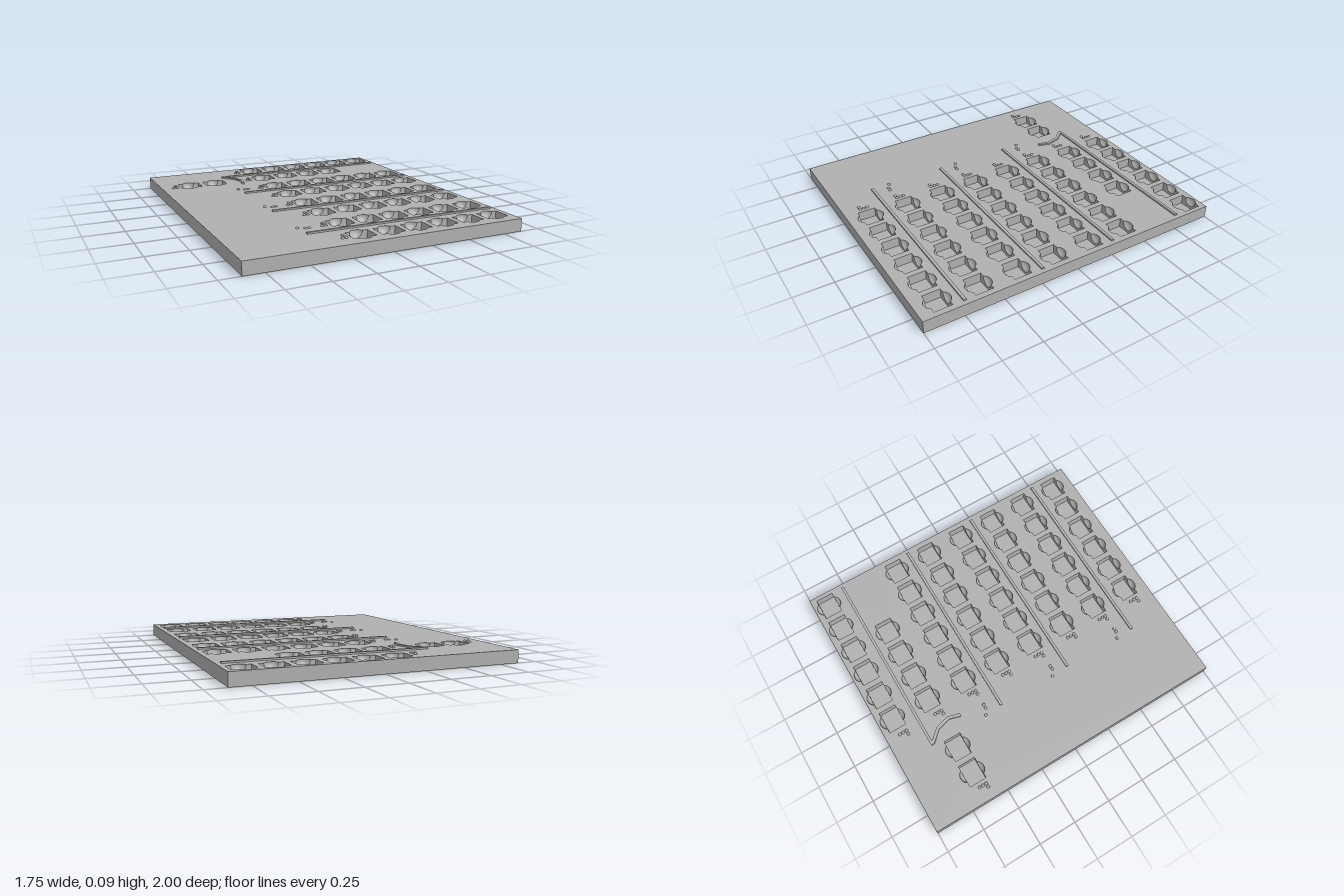
import * as THREE from 'three';
import { mergeGeometries } from 'three/addons/utils/BufferGeometryUtils.js';

const W = 1.75, TOP = 0.08, D = 2;            // plate size
const PW = 0.0725, PB = 0.0565, DEPTH = 0.06; // pocket half width, half length, depth
const R = 0.048, C = 0.023;                   // finger scoop radius, centre inset from wall
const A = Math.sqrt(R * R - C * C);           // scoop half width at the wall
const RAISE = 0.01;

// Turn a geometry inside out
function invert(g) {
  const i = g.index;
  for (let k = 0; k < i.count; k += 3) {
    const a = i.getX(k);
    i.setX(k, i.getX(k + 2));
    i.setX(k + 2, a);
  }
  const n = g.attributes.normal.array;
  for (let k = 0; k < n.length; k++) n[k] = -n[k];
  return g;
}

// Box keeping only the listed sides (0 +x, 1 -x, 2 +y, 3 -y, 4 +z, 5 -z)
function boxSides(w, h, d, sides) {
  const g = new THREE.BoxGeometry(w, h, d);
  const all = Array.from(g.index.array);
  g.setIndex(sides.flatMap(s => all.slice(s * 6, s * 6 + 6)));
  g.clearGroups();
  return g;
}

// Outline of a pocket mouth: rectangle with a rounded scoop at both ends
function mouth(x, z) {
  const p = new THREE.Path(), y = -z, t = Math.atan2(C, A);
  p.moveTo(x - PW, y - PB);
  p.lineTo(x - A, y - PB);
  p.absarc(x, y - PB + C, R, -Math.PI + t, -t, false);
  p.lineTo(x + PW, y - PB);
  p.lineTo(x + PW, y + PB);
  p.lineTo(x + A, y + PB);
  p.absarc(x, y + PB - C, R, t, Math.PI - t, false);
  p.lineTo(x - PW, y + PB);
  p.closePath();
  return p;
}

// Inside of one pocket, with its mouth at y = 0
function pocketGeometry() {
  const parts = [invert(boxSides(PW * 2, DEPTH, PB * 2, [0, 1, 3]).translate(0, -DEPTH / 2, 0))];
  const wall = new THREE.Shape();
  wall.moveTo(-PW, -DEPTH);
  wall.lineTo(PW, -DEPTH);
  wall.lineTo(PW, 0);
  wall.lineTo(A, 0);
  wall.absarc(0, 0, A, 0, -Math.PI, true);
  wall.lineTo(-PW, 0);
  wall.closePath();
  for (const turn of [0, Math.PI]) {
    parts.push(new THREE.ShapeGeometry(wall, 6).translate(0, 0, -PB).rotateY(turn));
    const scoop = new THREE.SphereGeometry(R, 12, 6, 0, Math.PI, 0, Math.acos(C / R));
    parts.push(invert(scoop.rotateX(Math.PI / 2).translate(0, 0, PB - C).rotateY(turn)));
  }
  return mergeGeometries(parts);
}

export function createModel() {
  const model = new THREE.Group();
  const grey = new THREE.MeshStandardMaterial({ color: 0xb0b0b0 });
  grey.name = 'grey plastic';
  const add = (name, geometry, x = 0, y = 0, z = 0) => {
    const m = new THREE.Mesh(geometry, grey);
    m.name = name;
    m.position.set(x, y, z);
    model.add(m);
    return m;
  };

  // Rows of pockets: first x, z, count, z offset of the lowest dot
  const rows = [
    [-0.124, -0.903, 6, 0.041], [-0.124, -0.651, 4, 0.041], [-0.674, -0.639, 2, 0.039],
    [-0.133, -0.392, 6, 0.032], [-0.133, -0.141, 6, 0.032], [-0.133, 0.11, 6, 0.028],
    [-0.133, 0.36, 6, 0.03], [-0.133, 0.608, 6, 0.03], [-0.133, 0.861, 6, 0.029],
  ];
  const spots = rows.flatMap(([x, z, n]) => Array.from({ length: n }, (_, i) => [x + i * 0.18, z]));

  // Plate: open-topped block and pierced top face
  add('plateBody', boxSides(W, TOP, D, [0, 1, 3, 4, 5]), 0, TOP / 2, 0);
  const face = new THREE.Shape([
    new THREE.Vector2(-W / 2, -D / 2), new THREE.Vector2(W / 2, -D / 2),
    new THREE.Vector2(W / 2, D / 2), new THREE.Vector2(-W / 2, D / 2),
  ]);
  face.holes = spots.map(([x, z]) => mouth(x, z));
  add('plateTop', new THREE.ShapeGeometry(face, 6).rotateX(-Math.PI / 2), 0, TOP, 0);

  // Pockets
  const pocket = pocketGeometry();
  for (const [x, z] of spots) add('pocket', pocket, x, TOP, z);

  // Raised dots beside each row, and marker dots at the rail ends
  const dot = new THREE.SphereGeometry(0.01, 14, 6, 0, Math.PI * 2, 0, Math.PI / 2);
  rows.forEach(([x, z, , low], i) => {
    const dx = x + (i < 2 ? -0.113 : -0.104);
    for (let k = 0; k < 3; k++) add('tactileDot', dot, dx, TOP, z + low - k * 0.0235);
    add('tactileDot', dot, dx - 0.0235, TOP, z + low);
  });
  for (const z of [-0.362, 0.138, 0.638]) {
    add('markerDot', dot, -0.407, TOP, z - 0.022);
    add('markerDot', dot, -0.367, TOP, z);
    add('markerDot', dot, -0.343, TOP, z);
  }

  // Straight divider rails
  const rail = new THREE.BoxGeometry(1.249, RAISE, 0.018);
  for (const z of [-0.766, -0.266, 0.233, 0.735]) add('dividerRail', rail, 0.2225, TOP + RAISE / 2, z);

  // Bent rail: a strip offset to both sides of a short path
  const path = [[-0.395, -0.76], [-0.328, -0.687], [-0.303, -0.597], [-0.325, -0.522]]
    .map(([x, z]) => new THREE.Vector2(x, -z));
  const side = s => path.map((p, i) => {
    const t = path[Math.min(i + 1, 3)].clone().sub(path[Math.max(i - 1, 0)]).normalize();
    return new THREE.Vector2(p.x - t.y * s, p.y + t.x * s);
  });
  const strip = new THREE.Shape([...side(0.01), ...side(-0.01).reverse()]);
  add('bentRail', new THREE.ExtrudeGeometry(strip, { depth: RAISE, bevelEnabled: false })
    .rotateX(-Math.PI / 2), 0, TOP, 0);

  return model;
}
